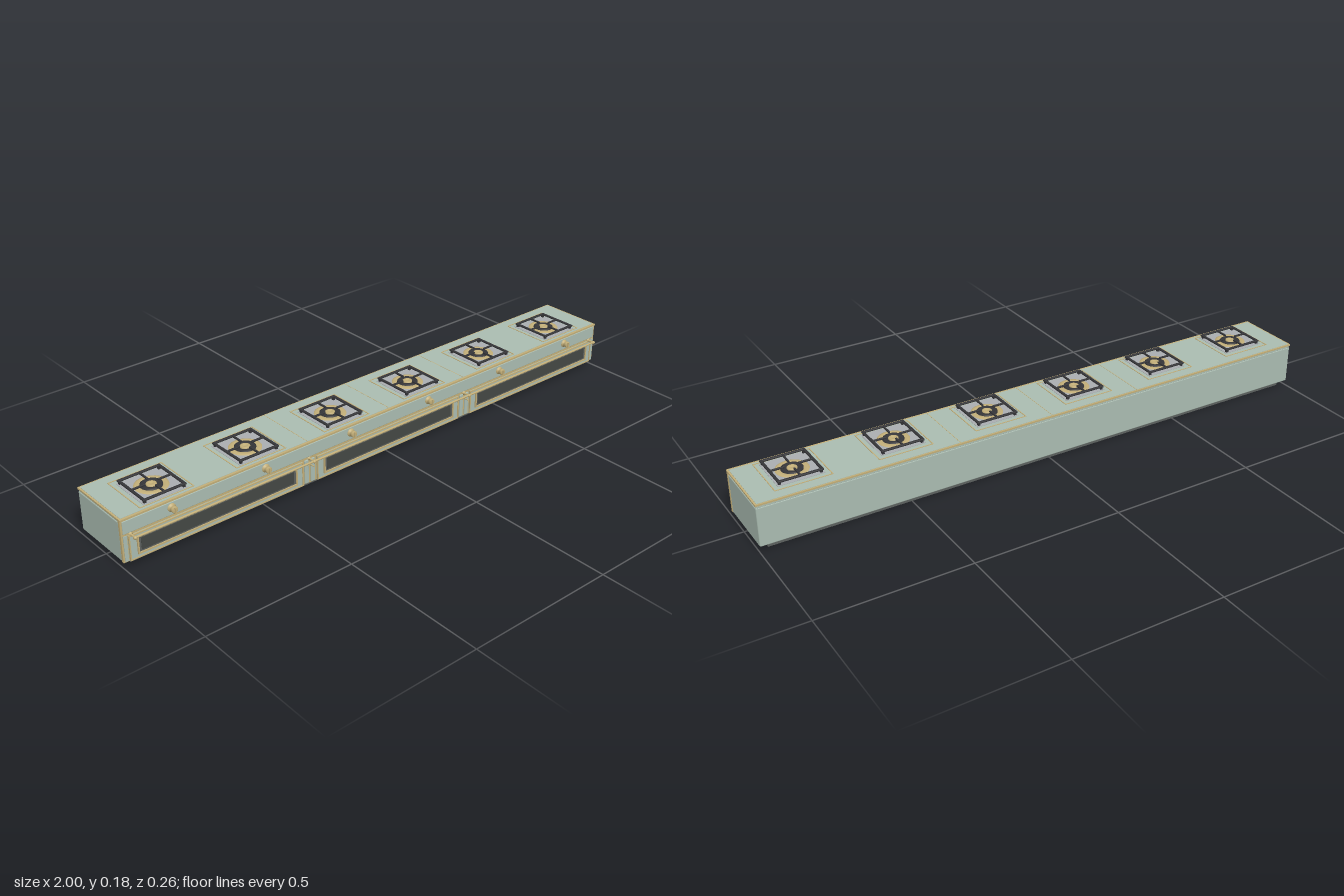
import * as THREE from 'three';
import { RoundedBoxGeometry } from 'three/addons/geometries/RoundedBoxGeometry.js';

const mat = (color) => new THREE.MeshStandardMaterial({ color });
const SAGE = mat(0xa9bbb0), BRASS = mat(0xc2ae78), IRON = mat(0x353538),
  GLASS = mat(0x434744), STEEL = mat(0xa9adb0), PLINTH = mat(0x5c605e);

function add(parent, name, geometry, material, x = 0, y = 0, z = 0) {
  const mesh = new THREE.Mesh(geometry, material);
  mesh.name = name;
  mesh.position.set(x, y, z);
  parent.add(mesh);
  return mesh;
}

// Box given by its limits on each axis
function box(parent, name, material, [x0, x1], [y0, y1], [z0, z1], radius = 0) {
  const size = [x1 - x0, y1 - y0, z1 - z0];
  const geometry = radius ? new RoundedBoxGeometry(...size, 2, radius) : new THREE.BoxGeometry(...size);
  return add(parent, name, geometry, material, (x0 + x1) / 2, (y0 + y1) / 2, (z0 + z1) / 2);
}

// Rectangular frame in the xy plane with a small bevel, its back at z = 0
function frameGeometry(w, h, border, depth) {
  const rect = (P, a, b) => {
    const p = new P();
    p.moveTo(-a, -b); p.lineTo(a, -b); p.lineTo(a, b); p.lineTo(-a, b); p.closePath();
    return p;
  };
  const shape = rect(THREE.Shape, w / 2, h / 2);
  shape.holes.push(rect(THREE.Path, w / 2 - border, h / 2 - border));
  return new THREE.ExtrudeGeometry(shape, { depth, bevelEnabled: false });
}

// Profile of [radius, height] pairs turned around y
const turned = (points, sides = 32) =>
  new THREE.LatheGeometry(points.map(([r, y]) => new THREE.Vector2(r, y)), sides);

function createBurner() {
  const g = new THREE.Group();
  g.name = 'burner';
  // Drip tray with its raised rim
  box(g, 'drip tray', STEEL, [-0.075, 0.075], [0, 0.0012], [-0.072, 0.078]);
  const rim = add(g, 'tray rim', frameGeometry(0.184, 0.176, 0.003, 0.0015), BRASS, 0, 0, -0.003);
  rim.rotation.x = -Math.PI / 2;

  // Concentric burner rings and caps
  add(g, 'burner base', turned([[0.052, 0], [0.052, 0.002], [0.046, 0.004], [0.036, 0.004], [0.034, 0.001]]), BRASS);
  add(g, 'burner cap', turned([[0.034, 0], [0.034, 0.005], [0.03, 0.007], [0.022, 0.007], [0.02, 0.003], [0, 0.003]]), IRON);
  add(g, 'inner burner', turned([[0.016, 0.003], [0.016, 0.007], [0.013, 0.0085], [0.007, 0.0085], [0.006, 0.006], [0, 0.006]]), BRASS);

  // Cast iron grate: four bars, four feet, four fingers
  const grate = new THREE.Group();
  grate.name = 'grate';
  grate.position.z = 0.003;
  g.add(grate);
  for (let i = 0; i < 4; i++) {
    const side = new THREE.Group();
    side.name = 'grate side';
    side.rotation.y = i * Math.PI / 2;
    box(side, 'bar', IRON, [-0.073, 0.073], [0.0085, 0.0145], [0.064, 0.073], 0.002);
    box(side, 'foot', IRON, [0.062, 0.07], [0, 0.01], [0.062, 0.07]);
    box(side, 'finger', IRON, [-0.003, 0.003], [0.0095, 0.0155], [0.022, 0.068], 0.0015);
    grate.add(side);
  }
  return g;
}

function createKnob() {
  const g = new THREE.Group();
  g.name = 'knob';
  const body = add(g, 'knob body', turned([[0.0135, 0], [0.0135, 0.003], [0.0085, 0.005], [0.0075, 0.009],
    [0.0105, 0.012], [0.0105, 0.019], [0.009, 0.021], [0, 0.021]], 24), BRASS);
  body.rotation.x = Math.PI / 2;
  box(g, 'knob grip', BRASS, [-0.002, 0.002], [-0.009, 0.009], [0.018, 0.024]);
  return g;
}

// Oven door with trim, framed window and rail, centred on x = 0
function createDoor(w) {
  const g = new THREE.Group();
  g.name = 'ovenDoor';
  const h = 0.084, y = 0.062;
  box(g, 'door panel', SAGE, [-w / 2, w / 2], [y - h / 2, y + h / 2], [0.098, 0.104], 0.002);
  add(g, 'door trim', frameGeometry(w, h, 0.004, 0.004), BRASS, 0, y, 0.102);
  add(g, 'window frame', frameGeometry(w - 0.05, 0.06, 0.005, 0.006), BRASS, 0, 0.064, 0.103);
  box(g, 'window surround', PLINTH, [-w / 2 + 0.03, w / 2 - 0.03], [0.039, 0.089], [0.102, 0.1055]);
  box(g, 'window glass', GLASS, [-w / 2 + 0.038, w / 2 - 0.038], [0.044, 0.084], [0.104, 0.1065]);
  return g;
}

export function createModel() {
  const model = new THREE.Group();
  model.name = 'range cooker';

  // Plinth, cabinet and worktop
  box(model, 'plinth', PLINTH, [-0.97, 0.97], [0.001, 0.02], [-0.113, 0.082]);
  box(model, 'plinth base', IRON, [-0.96, 0.96], [0, 0.003], [-0.105, 0.074]);
  box(model, 'cabinet', SAGE, [-0.999, 0.999], [0.019, 0.151], [-0.13, 0.091], 0.004);
  box(model, 'worktop underlay', SAGE, [-0.997, 0.997], [0.149, 0.157], [-0.129, 0.095], 0.002);
  box(model, 'worktop edge', BRASS, [-1, 1], [0.157, 0.1625], [-0.131, 0.102]);
  box(model, 'worktop', SAGE, [-0.994, 0.994], [0.16, 0.1635], [-0.126, 0.094]);
  for (const x of [-0.333, 0, 0.333])
    box(model, 'worktop seam', BRASS, [x - 0.001, x + 0.001], [0.163, 0.164], [-0.126, 0.094]);

  // Front frame and control panel
  box(model, 'front frame', BRASS, [-1, 1], [0.018, 0.158], [0.089, 0.1], 0.002);
  box(model, 'control panel', SAGE, [-0.994, 0.994], [0.112, 0.155], [0.097, 0.102], 0.002);

  // Oven doors
  for (const [x, w] of [[-0.67, 0.62], [0, 0.61], [0.67, 0.62]]) {
    const door = createDoor(w);
    door.position.x = x;
    model.add(door);
  }

  // Pillars between the doors and at both ends
  for (const s of [-1, 1]) {
    for (const x of [s * 0.321, s * 0.345])
      box(model, 'pillar', SAGE, [x - 0.008, x + 0.008], [0.022, 0.104], [0.098, 0.104], 0.002);
    box(model, 'end pillar', SAGE, [s * 0.989 - 0.006, s * 0.989 + 0.006], [0.022, 0.106], [0.098, 0.102]);
  }

  // Rail across the front with end balls and brackets
  const rail = add(model, 'rail', new THREE.CylinderGeometry(0.0035, 0.0035, 1.95, 16), BRASS, 0, 0.106, 0.125);
  rail.rotation.z = Math.PI / 2;
  for (const x of [-0.97, -0.333, 0.333, 0.97]) {
    const bracket = add(model, 'rail bracket', turned([[0.007, 0], [0.007, 0.002], [0.003, 0.005], [0.003, 0.022]], 16),
      BRASS, x, 0.106, 0.1);
    bracket.rotation.x = Math.PI / 2;
    add(model, 'rail ball', new THREE.SphereGeometry(0.0058, 16, 12), BRASS, x, 0.106, 0.126);
  }

  // Small latches on the pillars between the doors
  for (const x of [-0.333, 0.333]) {
    const latch = add(model, 'latch', new THREE.CapsuleGeometry(0.002, 0.018, 4, 10), BRASS, x, 0.087, 0.113);
    latch.rotation.x = Math.PI / 2;
  }

  // Burners with a knob in front of each
  for (let i = 0; i < 6; i++) {
    const x = (i - 2.5) * 0.333;
    const burner = createBurner();
    burner.position.set(x, 0.1635, 0);
    const knob = createKnob();
    knob.position.set(x, 0.137, 0.101);
    model.add(burner, knob);
  }
  return model;
}
